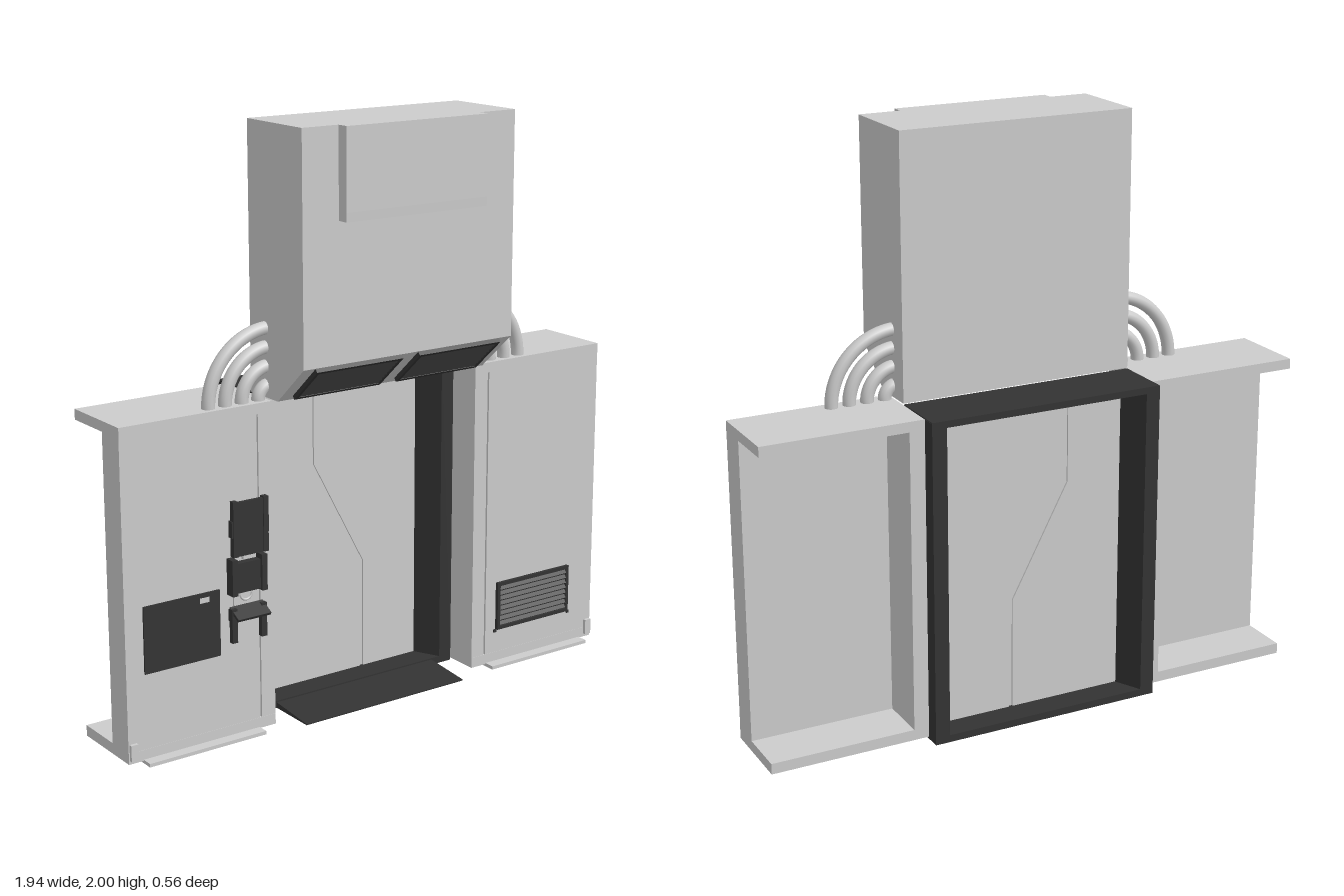
import * as THREE from 'three';

const grey = new THREE.MeshStandardMaterial({ color: 0xcccccc });
const dark = new THREE.MeshStandardMaterial({ color: 0x333333 });

function add(parent, name, geometry, material = grey) {
  const mesh = new THREE.Mesh(geometry, material);
  mesh.name = name;
  parent.add(mesh);
  return mesh;
}

function group(parent, name) {
  const g = new THREE.Group();
  g.name = name;
  parent.add(g);
  return g;
}

// Box given by its limits on each axis
function box(parent, name, [x0, x1], [y0, y1], [z0, z1], material = grey) {
  const mesh = add(parent, name, new THREE.BoxGeometry(x1 - x0, y1 - y0, z1 - z0), material);
  mesh.position.set((x0 + x1) / 2, (y0 + y1) / 2, (z0 + z1) / 2);
  return mesh;
}

function extrude(points, depth, hole) {
  const shape = new THREE.Shape(points.map(p => new THREE.Vector2(...p)));
  if (hole) shape.holes.push(new THREE.Path(hole.map(p => new THREE.Vector2(...p))));
  return new THREE.ExtrudeGeometry(shape, { depth, bevelEnabled: false });
}

const rect = (w, h) => [[-w / 2, -h / 2], [w / 2, -h / 2], [w / 2, h / 2], [-w / 2, h / 2]];

// Framed vent with tilted slats, facing local +z
function vent(parent, name, w, h, slats) {
  const g = group(parent, name);
  add(g, 'ventFrame', extrude(rect(w, h), 0.014, rect(w - 0.024, h - 0.024).reverse()), dark);
  box(g, 'ventBack', [-w / 2 + 0.01, w / 2 - 0.01], [-h / 2 + 0.01, h / 2 - 0.01], [0, 0.003], dark);
  const step = (h - 0.024) / slats;
  for (let i = 0; i < slats; i++) {
    const slat = add(g, 'ventSlat', new THREE.BoxGeometry(w - 0.024, step * 0.75, 0.004), dark);
    slat.position.set(0, -h / 2 + 0.012 + (i + 0.5) * step, 0.009);
    slat.rotation.x = -0.6;
  }
  return g;
}

function buildHousing(root) {
  const g = group(root, 'upperHousing');
  // Body with a sloping lower front edge
  const profile = [[-0.067, 1.12], [0.09, 1.12], [0.238, 1.25], [0.238, 2], [-0.067, 2]];
  const body = add(g, 'housingBody', extrude(profile, 0.83));
  body.geometry.rotateY(-Math.PI / 2).translate(0.415, 0, 0);
  // Raised front cover with a bevelled lower edge
  const cover = [[0.23, 1.705], [0.279, 1.705], [0.28, 1.735], [0.28, 2], [0.23, 2]];
  add(g, 'frontCover', extrude(cover, 0.55)).geometry.rotateY(-Math.PI / 2).translate(0.27, 0, 0);
  for (const x of [-0.202, 0.198]) {
    const v = vent(g, 'slopeVent', 0.335, 0.172, 8);
    v.position.set(x, 1.192, 0.172);
    v.rotation.x = Math.atan2(0.148, 0.13);
  }
}

function buildDoor(root) {
  const g = group(root, 'doorway');
  const zc = -0.173;
  // Jambs taper to the door from both faces
  const jamb = [[0.415, -0.105], [0.415, 0.105], [0.365, 0.105], [0.32, 0.015], [0.32, -0.015], [0.365, -0.105]];
  for (const turn of [0, Math.PI]) {
    const m = add(g, 'doorJamb', extrude(jamb, 1.115), dark);
    m.geometry.rotateX(-Math.PI / 2);
    m.position.z = zc;
    m.rotation.y = turn;
  }
  box(g, 'doorHeader', [-0.414, 0.414], [1.095, 1.118], [-0.278, -0.068], dark);
  box(g, 'doorSill', [-0.414, 0.414], [0, 0.025], [-0.278, -0.068], dark);
  // Two leaves meeting along a bent seam, over a thin core
  const seam = [[-0.115, 1.1], [-0.115, 0.8], [0.09, 0.415], [0.09, 0.02]];
  for (const s of [-1, 1]) {
    const edge = seam.map(([x, y]) => [x + s * 0.007, y]);
    const leaf = add(g, 'doorLeaf', extrude([...edge, [s * 0.33, 0.02], [s * 0.33, 1.1]], 0.024));
    leaf.position.z = zc - 0.012;
  }
  box(g, 'doorCore', [-0.32, 0.32], [0.02, 1.1], [zc - 0.006, zc + 0.006]);
  // Sloped threshold plate
  const ramp = add(g, 'threshold', extrude([[-0.07, 0], [0.112, 0], [0.112, 0.004], [-0.07, 0.02]], 0.66), dark);
  ramp.geometry.rotateY(-Math.PI / 2).translate(0.33, 0, 0);
}

function buildSide(root, s) {
  const g = group(root, s > 0 ? 'leftWing' : 'rightWing');
  const sx = (a, b) => (s > 0 ? [a, b] : [-b, -a]);
  box(g, 'topSlab', sx(0.415, 0.97), [1.08, 1.115], [-0.225, 0.055]);
  box(g, 'bottomSlab', sx(0.415, 0.97), [0.008, 0.045], [-0.225, 0.055]);
  box(g, 'wallPanel', sx(0.476, 0.97), [0.045, 1.08], [-0.05, 0.054]);
  box(g, 'innerPost', sx(0.415, 0.468), [0.045, 1.08], [-0.225, 0.054]);
  box(g, 'seamStrip', sx(0.466, 0.478), [0.045, 1.08], [-0.05, 0.046]);
  box(g, 'kickPlate', sx(0.478, 0.917), [0, 0.012], [0.0, 0.095]);
  box(g, 'cornerLug', sx(0.94, 0.966), [0.02, 0.075], [0.05, 0.066]);

  // Nested pipes from the slab into the housing
  for (const r of [0.232, 0.17, 0.108, 0.046]) {
    const pipe = add(g, 'pipe', new THREE.TorusGeometry(r, 0.022, 12, 24, Math.PI / 2));
    pipe.position.set(s * 0.397, 1.115, 0.018);
    if (s < 0) pipe.rotation.y = Math.PI;
  }
}

function buildConsole(root) {
  const g = group(root, 'wallConsole');
  const cx = -0.528;
  const cbox = (name, w, y, z, m = dark) => box(g, name, [cx - w / 2, cx + w / 2], y, z, m);
  const pair = (name, x0, x1, y, z) => {
    for (const s of [-1, 1]) {
      const a = cx + s * x0, b = cx + s * x1;
      box(g, name, [Math.min(a, b), Math.max(a, b)], y, z, dark);
    }
  };
  // Upper screen on a wall arm
  cbox('screen', 0.104, [0.635, 0.815], [0.083, 0.096]);
  pair('screenSide', 0.048, 0.066, [0.635, 0.82], [0.08, 0.1]);
  pair('screenKnob', 0.062, 0.07, [0.70, 0.755], [0.076, 0.096]);
  cbox('screenArm', 0.06, [0.70, 0.75], [0.05, 0.085]);
  cbox('cable', 0.02, [0.61, 0.65], [0.052, 0.066], grey);
  // Middle unit
  cbox('controlUnit', 0.1, [0.505, 0.605], [0.05, 0.08]);
  pair('controlSide', 0.046, 0.066, [0.5, 0.622], [0.05, 0.09]);
  cbox('backPlate', 0.09, [0.44, 0.51], [0.05, 0.062], grey);
  const dial = add(g, 'dial', new THREE.TorusGeometry(0.022, 0.004, 8, 20, Math.PI));
  dial.position.set(cx, 0.495, 0.064);
  dial.rotation.z = Math.PI;
  // Tilted shelf between two legs
  const shelf = add(g, 'shelf', new THREE.BoxGeometry(0.125, 0.01, 0.06), dark);
  shelf.position.set(cx, 0.44, 0.087);
  shelf.rotation.x = 0.5;
  pair('leg', 0.046, 0.066, [0.34, 0.455], [0.066, 0.084]);
  pair('legMount', 0.05, 0.062, [0.41, 0.45], [0.05, 0.07]);
}

export function createModel() {
  const root = new THREE.Group();
  root.name = 'doorUnit';
  buildHousing(root);
  buildDoor(root);
  for (const s of [-1, 1]) buildSide(root, s);
  buildConsole(root);

  // Dark access panel with a small plate
  box(root, 'accessPanel', [-0.905, -0.625], [0.3, 0.525], [0.05, 0.06], dark);
  box(root, 'accessPlate', [-0.7, -0.665], [0.493, 0.51], [0.058, 0.062]);

  // Low wall vent with fixing studs
  vent(root, 'wallVent', 0.33, 0.175, 8).position.set(0.686, 0.219, 0.053);
  for (const x of [0.517, 0.857]) box(root, 'ventStud', [x - 0.005, x + 0.005], [0.121, 0.131], [0.05, 0.06], dark);
  return root;
}
